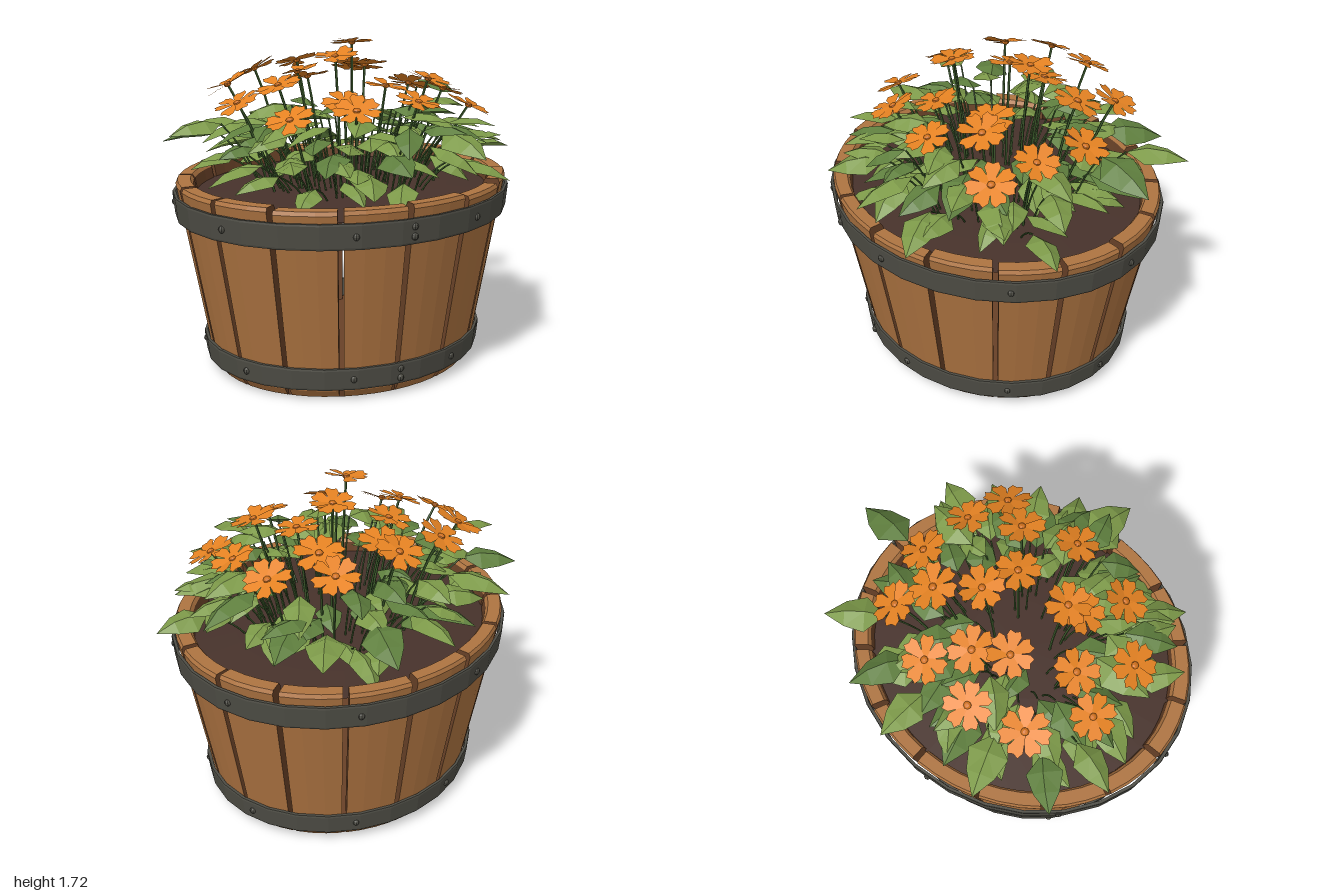
import * as THREE from 'three';
import { mergeGeometries } from 'three/addons/utils/BufferGeometryUtils.js';

const mat = (name, color, extra = {}) =>
  Object.assign(new THREE.MeshStandardMaterial({ color, flatShading: true, ...extra }), { name });
const open = { side: THREE.DoubleSide };
const wood = mat('stave wood', 0xae7441);
const darkWood = mat('inner wood', 0x684127);
const metal = mat('band metal', 0x4e4d45);
const soilMat = mat('soil', 0x47322b, open);
const leafMat = mat('leaf green', 0x7d9a49, open);
const deepLeafMat = mat('deep leaf green', 0x5f7f3e, open);
const stemMat = mat('stem green', 0x41612f);
const petalMat = mat('petal orange', 0xe58222, open);
const heartMat = mat('flower heart orange', 0xcf701c);

let seed = 7;
const rand = (a, b) => {
  seed = (seed * 16807) % 2147483647;
  return a + (b - a) * (seed / 2147483647);
};
const V = (x, y, z) => new THREE.Vector3(x, y, z);
const polar = (a, r, y) => V(r * Math.sin(a), y, r * Math.cos(a));

function add(parent, name, geometry, material) {
  const mesh = new THREE.Mesh(geometry, material);
  mesh.name = name;
  parent.add(mesh);
  return mesh;
}

// One tapered stave: outer and top faces in wood, sides and inner face darker
function staveGeometry(a0, a1, top) {
  const profile = [[0.72, 0.004], [0.75, 0.045], [0.93, top - 0.02], [0.92, top],
    [0.85, top], [0.835, top - 0.02], [0.63, 0.004]];
  const light = [], dark = [], steps = 3;
  const quad = (out, a, b, c, d) => out.push(a, b, c, a, c, d);
  for (let s = 0; s < steps; s++) {
    const b0 = a0 + (a1 - a0) * s / steps, b1 = a0 + (a1 - a0) * (s + 1) / steps;
    profile.forEach(([r, y], i) => {
      const [r2, y2] = profile[(i + 1) % profile.length];
      quad(i < 5 ? light : dark, polar(b0, r, y), polar(b1, r, y), polar(b1, r2, y2), polar(b0, r2, y2));
    });
  }
  for (let i = 1; i < profile.length - 1; i++) {
    const tri = [profile[0], profile[i], profile[i + 1]];
    dark.push(...tri.map(([r, y]) => polar(a0, r, y)));
    dark.push(...tri.reverse().map(([r, y]) => polar(a1, r, y)));
  }
  const g = new THREE.BufferGeometry().setFromPoints([...light, ...dark]);
  g.addGroup(0, light.length, 0);
  g.addGroup(light.length, dark.length, 1);
  g.computeVertexNormals();
  return g;
}

function buildTub() {
  const tub = new THREE.Group();
  tub.name = 'tub';
  tub.scale.z = 0.89;
  tub.position.set(-0.05, 0, -0.032);
  const count = 16, step = Math.PI * 2 / count, gap = 0.017;
  for (let i = 0; i < count; i++) {
    add(tub, 'stave', staveGeometry(i * step + gap, (i + 1) * step - gap, rand(1.0, 1.02)), [wood, darkWood]);
  }
  add(tub, 'base', new THREE.CylinderGeometry(0.725, 0.71, 0.08, 48), darkWood).position.y = 0.04;

  // Slightly mounded soil disc
  const soil = [[0.835, 0.93], [0.6, 0.945], [0.3, 0.955], [0, 0.96]].map(p => new THREE.Vector2(...p));
  add(tub, 'soil', new THREE.LatheGeometry(soil, 32), soilMat);

  // Metal bands with rivets; one pair marks each seam
  for (const [y0, y1, r0, r1] of [[0.82, 0.95, 0.934, 0.948], [0.06, 0.175, 0.782, 0.796]]) {
    const ring = [[r0 - 0.016, y0], [r0, y0], [r0 + 0.004, y0 + 0.01], [r1 + 0.002, y1 - 0.01],
      [r1, y1], [r1 - 0.016, y1], [r0 - 0.016, y0]].map(p => new THREE.Vector2(...p));
    add(tub, 'metalBand', new THREE.LatheGeometry(ring, 28), metal);
    const mid = (y0 + y1) / 2;
    const spots = Array.from({ length: 8 }, (_, i) => [0.084 + i * Math.PI / 4, mid]);
    spots.push([-0.375, mid + 0.025], [-0.375, mid - 0.025]);
    for (const [a, y] of spots) {
      const rivet = add(tub, 'rivet', new THREE.SphereGeometry(0.019, 8, 6), metal);
      rivet.position.copy(polar(a, (r0 + r1) / 2 - 0.004, y));
    }
  }
  return tub;
}

// Pointed leaf of unit length along +z, folded along its midrib
function leafGeometry() {
  const rows = [[0, 0, 0, 0], [0.32, 0.31, 0.12, 0], [0.65, 0.22, 0.11, 0.01], [1, 0, -0.03, -0.03]];
  const pts = [];
  for (let i = 0; i < 3; i++) {
    const [z0, w0, m0, e0] = rows[i], [z1, w1, m1, e1] = rows[i + 1];
    for (const s of [1, -1]) {
      const a = V(0, m0, z0), b = V(0, m1, z1), c = V(s * w1, e1, z1), d = V(s * w0, e0, z0);
      const tris = [];
      if (w1) tris.push([a, b, c]);
      if (w0) tris.push(w1 ? [a, c, d] : [a, b, d]);
      tris.forEach(t => pts.push(...(s > 0 ? t : t.reverse())));
    }
  }
  const g = new THREE.BufferGeometry().setFromPoints(pts);
  g.computeVertexNormals();
  return g;
}

// Ring of seven separate notched petals facing +y, each rolled a little
function petalGeometry() {
  const outline = [[-0.01, 0.01], [0.01, 0.01], [0.024, 0.05], [0.038, 0.09], [0.026, 0.12], [0, 0.11],
    [-0.026, 0.12], [-0.038, 0.09], [-0.024, 0.05]].map(p => new THREE.Vector2(...p));
  const petals = Array.from({ length: 7 }, (_, i) =>
    new THREE.ShapeGeometry(new THREE.Shape(outline)).rotateY(rand(-0.2, 0.2))
      .rotateX(-Math.PI / 2 + rand(-0.05, 0.2)).rotateY(i * Math.PI * 2 / 7));
  return mergeGeometries(petals);
}

function addStem(parent, from, to, radius) {
  const bend = V(from.x + (to.x - from.x) * 0.35, from.y + (to.y - from.y) * 0.6, from.z + (to.z - from.z) * 0.35);
  add(parent, 'stem', new THREE.TubeGeometry(new THREE.QuadraticBezierCurve3(from, bend, to), 5, radius, 5), stemMat);
}

function buildPlants() {
  const plants = new THREE.Group();
  plants.name = 'plants';
  const leafGeo = leafGeometry();
  const petalGeos = [petalGeometry(), petalGeometry(), petalGeometry()];
  const heartGeo = new THREE.SphereGeometry(0.02, 8, 6);
  const root = p => V(p.x * 0.7, 0.94, p.z * 0.7);

  const addLeaf = (base, tip) => {
    const leaf = add(plants, 'leaf', leafGeo, rand(0, 1) < 0.7 ? leafMat : deepLeafMat);
    leaf.scale.setScalar(base.distanceTo(tip));
    leaf.position.copy(base);
    leaf.lookAt(tip);
    leaf.rotateZ(rand(-0.3, 0.3));
    addStem(plants, root(base), base, 0.005);
  };

  // Outer leaves reaching over the rim, given by their tips
  const tips = [[0.13, 1.17, -0.9], [-0.43, 1.2, -0.84], [-0.2, 1.1, -0.8], [-0.77, 1.2, -0.66], [-0.93, 1.28, -0.4],
    [0.78, 1.22, -0.62], [0.99, 1.33, -0.07], [0.87, 1.08, 0.4], [0.63, 1.16, 0.52], [0.27, 1.04, 0.83],
    [-0.03, 1.2, 0.89], [-0.6, 1.06, 0.67], [-0.7, 1.15, 0.45], [-0.88, 1.04, -0.18], [0.45, 1.15, -0.8],
    [0.76, 1.12, -0.3], [-0.78, 1.28, 0.1], [0.74, 1.3, 0.18], [0.35, 1.2, 0.62], [-0.3, 1.12, 0.65]];
  for (const [x, y, z] of tips) {
    const out = V(x + rand(-0.15, 0.15), 0, z + rand(-0.15, 0.15)).normalize();
    const tip = V(x, y, z);
    addLeaf(tip.clone().addScaledVector(out, -rand(0.28, 0.34)).setY(y + rand(0, 0.08)), tip);
  }

  // Inner rings of leaves: radius, count, lowest and highest base
  for (const [r, n, low, high] of [[0.29, 14, 1.1, 1.32], [0.41, 20, 1.08, 1.36], [0.52, 24, 1.05, 1.33],
    [0.61, 18, 1.03, 1.26]]) {
    for (let i = 0; i < n; i++) {
      const a = (i + rand(-0.3, 0.3)) / n * Math.PI * 2;
      const base = polar(a, r + rand(-0.05, 0.05), rand(low, high));
      base.z *= 0.92;
      base.x -= 0.03;
      const tip = base.clone().add(polar(a + rand(-0.8, 0.8), rand(0.2, 0.28), rand(-0.12, 0.03)));
      addLeaf(base, tip);
    }
  }

  // Flowers, each tilted outward on its own stem
  const flowers = [[-0.46, 1.48, -0.48], [-0.18, 1.53, -0.57], [0.12, 1.55, -0.54], [0.44, 1.5, -0.41],
    [-0.65, 1.43, -0.2], [-0.46, 1.51, -0.1], [-0.17, 1.54, -0.25], [0, 1.49, -0.34], [0.35, 1.53, -0.23],
    [0.12, 1.68, -0.12], [0.56, 1.42, -0.08], [-0.63, 1.38, 0.15], [-0.24, 1.65, 0.09], [-0.27, 1.43, 0.18],
    [0.11, 1.47, 0.13], [0.51, 1.42, 0.2], [-0.39, 1.42, 0.37], [-0.01, 1.43, 0.45], [0.24, 1.51, 0.31],
    [0.44, 1.36, 0.43]];
  flowers.forEach(([x, y, z], i) => {
    const flower = new THREE.Group();
    flower.name = 'flower';
    add(flower, 'petals', petalGeos[i % 3], petalMat).rotation.y = rand(0, 6);
    add(flower, 'flowerHeart', heartGeo, heartMat).scale.y = 0.7;
    flower.position.set(x, y, z);
    flower.quaternion.setFromUnitVectors(V(0, 1, 0), V(x * 0.8, 1, z * 0.8).normalize());
    flower.scale.setScalar(rand(0.96, 1.08));
    plants.add(flower);
    addStem(plants, root(flower.position), flower.position.clone(), 0.007);
  });
  return plants;
}

export function createModel() {
  const model = new THREE.Group();
  model.name = 'flowerTub';
  model.add(buildTub(), buildPlants());
  return model;
}
